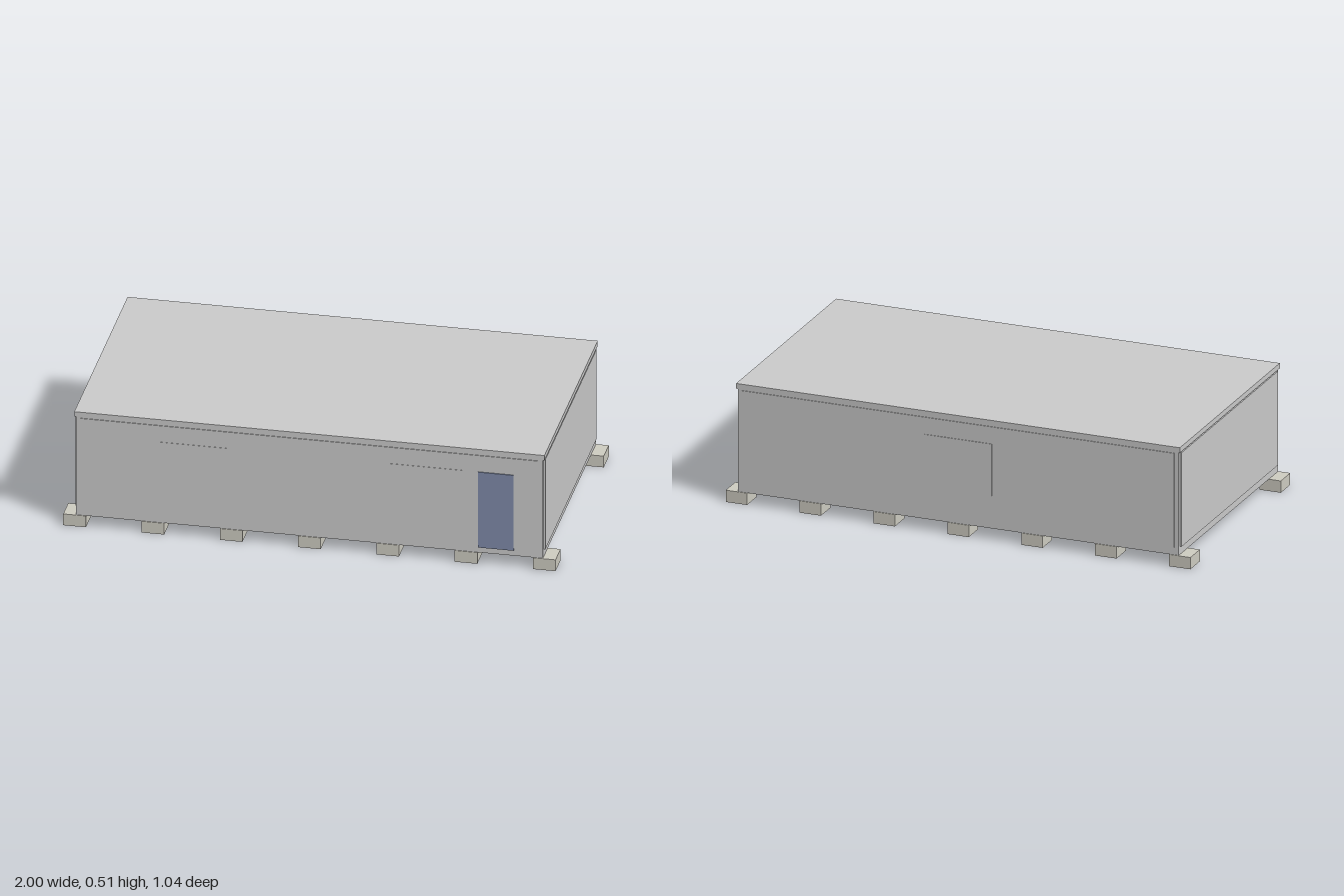
import * as THREE from 'three';

export function createModel() {
  const model = new THREE.Group();
  const grey = new THREE.MeshStandardMaterial({ color: 0xcccccc });
  const blue = new THREE.MeshStandardMaterial({ color: 0x808cab });
  const concrete = new THREE.MeshStandardMaterial({ color: 0xcfcdc2 });

  // Box given by its limits on each axis
  function box(name, [x0, x1], [y0, y1], [z0, z1], material = grey) {
    const mesh = new THREE.Mesh(new THREE.BoxGeometry(x1 - x0, y1 - y0, z1 - z0), material);
    mesh.position.set((x0 + x1) / 2, (y0 + y1) / 2, (z0 + z1) / 2);
    mesh.name = name;
    model.add(mesh);
  }
  // Limits around a centre
  const span = (centre, size) => [centre - size / 2, centre + size / 2];

  // Roof slab
  box('roof', [-0.955, 0.955], [0.488, 0.51], [-0.52, 0.52]);

  // Outer walls with slightly raised cladding panels
  for (const side of [-1, 1]) {
    box('longWall', [-0.948, 0.948], [0.05, 0.488], span(side * 0.504, 0.024));
    box('longWallPanel', [-0.93, 0.93], [0.083, 0.482], span(side * 0.516, 0.006));
    box('endWall', span(side * 0.936, 0.024), [0.05, 0.488], [-0.492, 0.492]);
    box('endWallPanel', span(side * 0.95, 0.009), [0.083, 0.482], [-0.5, 0.5]);
  }

  // Door and flush window panels
  box('door', [0.685, 0.83], [0.075, 0.41], [0.515, 0.523], blue);
  for (const x of [-0.475, 0.475]) box('frontWindow', span(x, 0.29), [0.19, 0.41], [0.515, 0.5205]);
  box('backWindow', span(0, 0.29), [0.19, 0.41], [-0.5215, -0.515]);

  // Foundation blocks in two rows
  for (let i = -3; i <= 3; i++) {
    for (const side of [-1, 1]) {
      box('foundationBlock', span(i * 0.318, 0.092), [0, 0.05], span(side * 0.47, 0.098), concrete);
    }
  }

  // Cross beams between the three bays
  for (const x of [-0.318, 0.318]) box('crossBeam', span(x, 0.024), [0.05, 0.083], [-0.492, 0.492]);

  // Floor plates and partitions inside
  box('floorPlate', [0.52, 0.924], [0.08, 0.09], [-0.3, 0.47]);
  box('floorPlate', [0.33, 0.52], [0.08, 0.09], [-0.3, 0.2]);
  box('floorPlate', span(-0.476, 0.27), [0.08, 0.09], span(0.24, 0.2));
  box('corridorPartition', [0.33, 0.924], [0.09, 0.488], [-0.3, -0.285]);
  box('roomPartition', [-0.924, -0.33], [0.09, 0.488], [0.09, 0.105]);

  return model;
}
